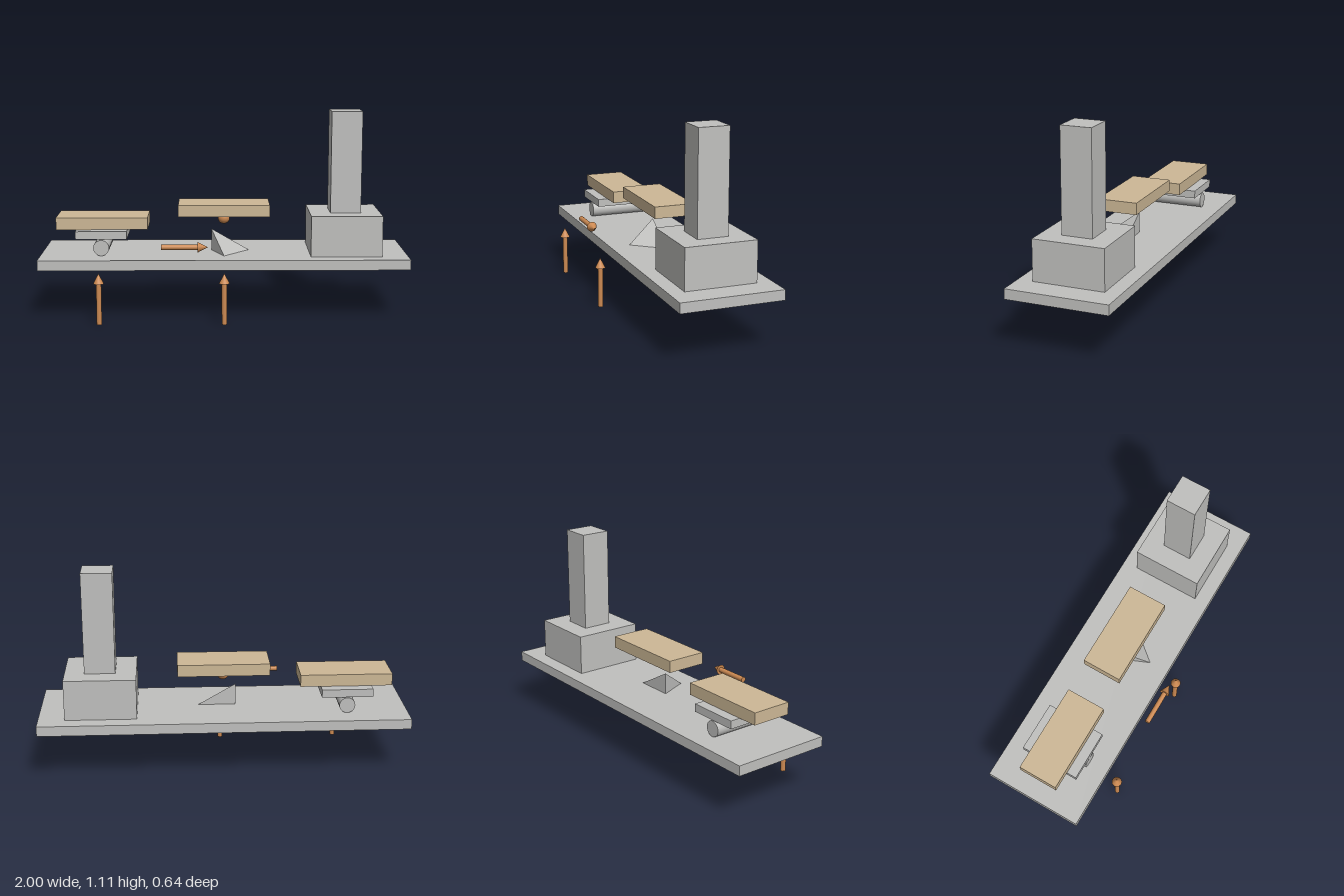
import * as THREE from 'three';

export function createModel() {
  const model = new THREE.Group();
  const mat = (name, color, flatShading = false) => {
    const m = new THREE.MeshStandardMaterial({ color, flatShading });
    m.name = name;
    return m;
  };
  const grey = mat('grey', 0xc0c0be, true);
  const tan = mat('tan', 0xcdb896, true);
  const copper = mat('copper', 0xcd8a52);

  const MID = -0.043; // z of the bench's centre line
  const FRONT = 0.293; // z of the arrows in front of the bench

  const add = (name, geometry, material, x, y, z, parent = model) => {
    const mesh = new THREE.Mesh(geometry, material);
    mesh.name = name;
    mesh.position.set(x, y, z);
    parent.add(mesh);
    return mesh;
  };
  // box given by its centre x, bottom and top heights, width and depth
  const box = (name, material, x, y0, y1, w, d) =>
    add(name, new THREE.BoxGeometry(w, y1 - y0, d), material, x, (y0 + y1) / 2, MID);

  // base plate and stepped tower
  box('basePlate', grey, 0, 0.28, 0.335, 2, 0.555);
  box('towerBlock', grey, 0.664, 0.335, 0.557, 0.387, 0.389);
  box('towerColumn', grey, 0.667, 0.557, 1.113, 0.167, 0.167);

  // left beam on its plate and roller
  box('leftBeam', tan, -0.667, 0.471, 0.537, 0.5, 0.222);
  box('supportPlate', grey, -0.667, 0.427, 0.471, 0.278, 0.333);
  const roller = new THREE.CylinderGeometry(0.043, 0.043, 0.333, 32).rotateX(Math.PI / 2);
  const rollerGrey = grey.clone();
  rollerGrey.flatShading = false;
  add('roller', roller, rollerGrey, -0.667, 0.38, MID);

  // middle beam with a ball under it
  box('middleBeam', tan, 0, 0.54, 0.605, 0.5, 0.222);
  add('ball', new THREE.SphereGeometry(0.033, 24, 16), copper, 0, 0.517, MID);

  // three-sided pyramid pointing forward, half sunk in the plate
  const pyramid = new THREE.ConeGeometry(0.138, 0.165, 3, 1, false, Math.PI / 2);
  add('pyramidWedge', pyramid.rotateX(Math.PI / 2), grey, 0, 0.335, MID + 0.0825);

  // arrows: tail at the group's origin, pointing up before turning
  const arrow = (name, length, x, y, turn) => {
    const g = new THREE.Group();
    const head = 0.055;
    g.name = name;
    add('arrowShaft', new THREE.CylinderGeometry(0.014, 0.014, length - head, 16), copper,
      0, (length - head) / 2, 0, g);
    add('arrowHead', new THREE.ConeGeometry(0.028, head, 20), copper, 0, length - head / 2, 0, g);
    g.position.set(x, y, FRONT);
    g.rotation.z = turn;
    model.add(g);
  };
  arrow('leftUpArrow', 0.279, -0.667, 0, 0);
  arrow('middleUpArrow', 0.279, 0, 0, 0);
  arrow('sidewaysArrow', 0.247, -0.333, 0.42, -Math.PI / 2);

  return model;
}
